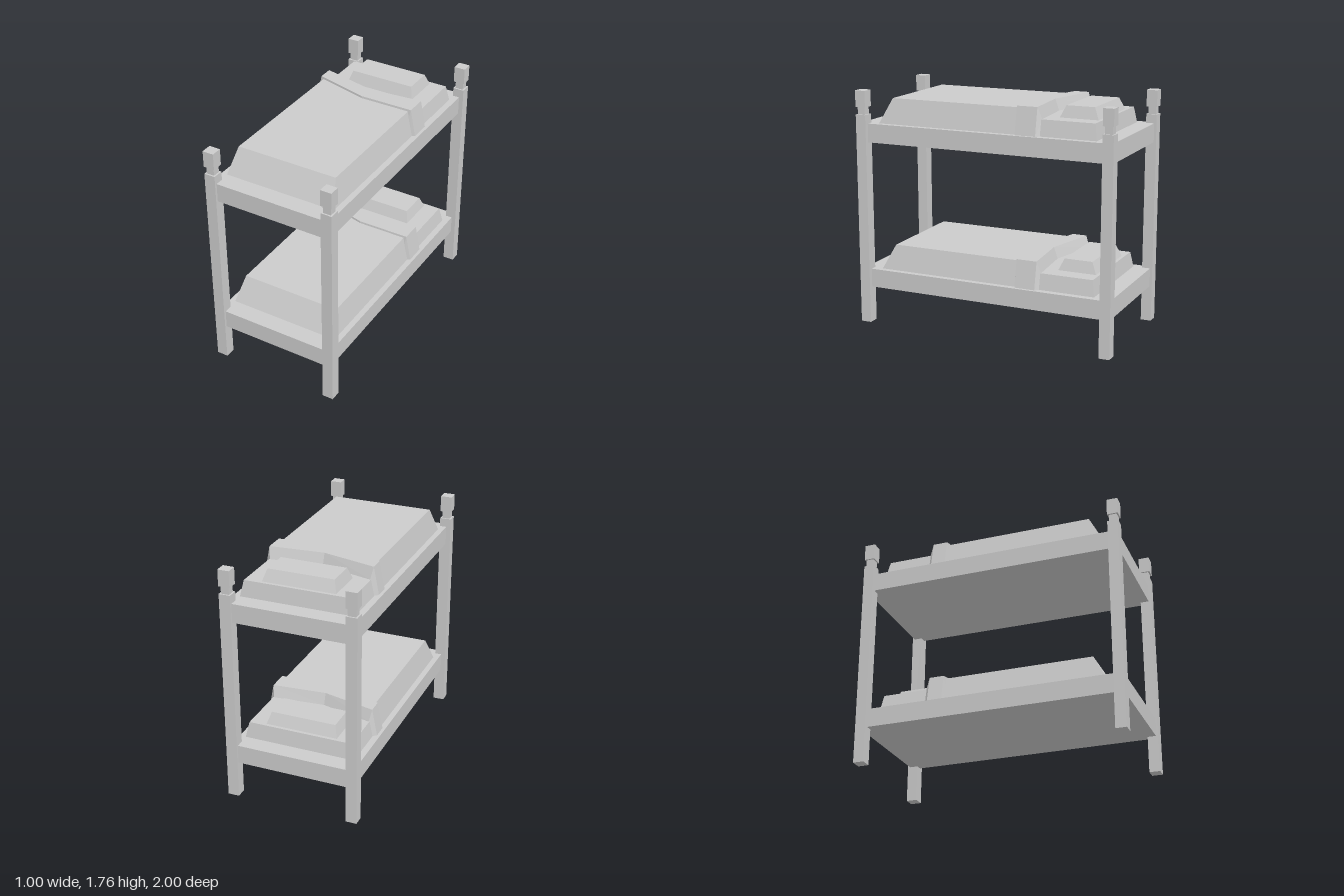
import * as THREE from 'three';

const material = new THREE.MeshStandardMaterial({ color: 0xcccccc, flatShading: true });

function addMesh(parent, name, geometry) {
  const mesh = new THREE.Mesh(geometry, material);
  mesh.name = name;
  parent.add(mesh);
  return mesh;
}

// Box between y0 and y1 whose top and bottom rectangles differ: { x: half width, z: [back, front] }
function taperedBox(y0, y1, bottom, top) {
  const geometry = new THREE.BoxGeometry(2, 1, 1);
  const p = geometry.attributes.position;
  for (let i = 0; i < p.count; i++) {
    const upper = p.getY(i) > 0;
    const rect = upper ? top : bottom;
    p.setXYZ(i, p.getX(i) * rect.x, upper ? y1 : y0, rect.z[p.getZ(i) > 0 ? 1 : 0]);
  }
  geometry.computeVertexNormals();
  return geometry;
}

// Closed solid through a row of equally sized cross-sections
function loft(sections) {
  const n = sections[0].length;
  const index = [];
  for (let i = 0; i < sections.length - 1; i++) {
    for (let j = 0; j < n; j++) {
      const a = i * n + j, b = i * n + (j + 1) % n;
      index.push(a, b, b + n, a, b + n, a + n);
    }
  }
  const last = (sections.length - 1) * n;
  for (let j = 1; j < n - 1; j++) {
    index.push(0, j + 1, j, last, last + j, last + j + 1);
  }
  const indexed = new THREE.BufferGeometry();
  indexed.setAttribute('position', new THREE.Float32BufferAttribute(sections.flat(2), 3));
  indexed.setIndex(index);
  const geometry = indexed.toNonIndexed();
  geometry.computeVertexNormals();
  return geometry;
}

// Turned-down sheet edge draped over the blanket, running crookedly across the bed
function foldGeometry() {
  // outer x, outer y, inner x, inner y, back z, front z
  const stations = [
    [-0.445, 0.41, -0.415, 0.41, -0.47, -0.36],
    [-0.405, 0.615, -0.39, 0.53, -0.47, -0.36],
    [0, 0.615, 0, 0.53, -0.37, -0.25],
    [0.405, 0.615, 0.39, 0.53, -0.405, -0.25],
    [0.445, 0.41, 0.415, 0.41, -0.405, -0.25],
  ];
  return loft(stations.map(([ox, oy, ix, iy, back, front]) => [
    [ix, iy, back - 0.03],
    [ox, oy, back],
    [ox, oy, front],
    [ix, iy, front + 0.013],
  ]));
}

function createBunk(name, y) {
  const bunk = new THREE.Group();
  bunk.name = name;
  bunk.position.y = y;

  const frame = addMesh(bunk, 'bedFrame', new THREE.BoxGeometry(0.934, 0.14, 1.965));
  frame.position.y = 0.343;

  addMesh(bunk, 'mattress', taperedBox(0.41, 0.53,
    { x: 0.42, z: [-0.85, 0.7] }, { x: 0.395, z: [-0.83, 0.7] }));
  addMesh(bunk, 'blanket', taperedBox(0.41, 0.6,
    { x: 0.425, z: [-0.36, 0.85] }, { x: 0.383, z: [-0.36, 0.752] }));
  addMesh(bunk, 'blanketFold', foldGeometry());
  addMesh(bunk, 'pillow', taperedBox(0.525, 0.615,
    { x: 0.273, z: [-0.808, -0.515] }, { x: 0.245, z: [-0.768, -0.555] }));
  return bunk;
}

// Corner post with a narrow neck and a block cap
function createPost(name, x, z) {
  const post = new THREE.Group();
  post.name = name;
  post.position.set(x, 0, z);
  const pieces = [
    ['postShaft', 0.084, 0.08, 0, 1.587],
    ['postNeck', 0.06, 0.057, 1.58, 1.65],
    ['postCap', 0.084, 0.08, 1.643, 1.765],
  ];
  for (const [part, w, d, y0, y1] of pieces) {
    addMesh(post, part, new THREE.BoxGeometry(w, y1 - y0, d)).position.y = (y0 + y1) / 2;
  }
  return post;
}

export function createModel() {
  const model = new THREE.Group();
  model.name = 'bunkBed';
  for (const sx of [-1, 1]) {
    for (const sz of [-1, 1]) {
      const name = (sz > 0 ? 'front' : 'back') + (sx > 0 ? 'Left' : 'Right') + 'Post';
      model.add(createPost(name, sx * 0.458, sz * 0.96));
    }
  }
  model.add(createBunk('lowerBunk', 0), createBunk('upperBunk', 1.108));
  return model;
}
